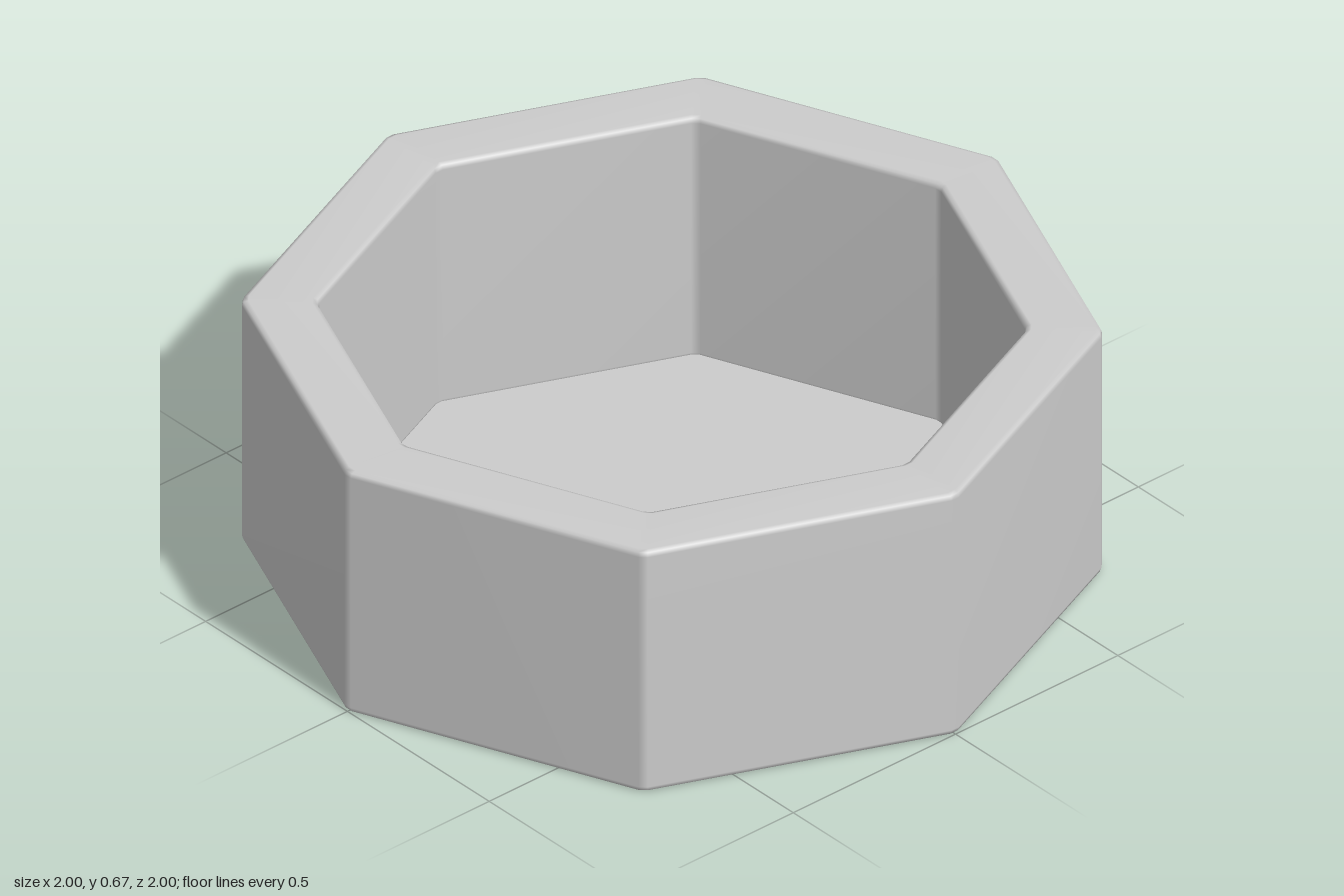
import * as THREE from 'three';

const SIDES = 8;
const CUT = 0.012; // half width of the small chamfer on each upright corner

// Octagon of the given radius with every corner trimmed into two points
function octagonLoop(radius) {
  const corner = (i) => {
    const a = (i / SIDES) * Math.PI * 2;
    return new THREE.Vector2(Math.sin(a), Math.cos(a)).multiplyScalar(radius);
  };
  const points = [];
  for (let i = 0; i < SIDES; i++) {
    const c = corner(i);
    for (const step of [-1, 1]) {
      const along = corner(i + step).sub(c).normalize();
      points.push(c.clone().addScaledVector(along, CUT));
    }
  }
  return points;
}

// Sweep a closed [radius, height] profile around the octagon
function octagonRing(profile) {
  const positions = [], index = [];
  const n = SIDES * 2, m = profile.length;
  for (const [radius, y] of profile) {
    for (const p of octagonLoop(radius)) positions.push(p.x, y, p.y);
  }
  for (let j = 0; j < m; j++) {
    const k = (j + 1) % m;
    for (let i = 0; i < n; i++) {
      const h = (i + 1) % n;
      const a = j * n + i, b = j * n + h, c = k * n + h, d = k * n + i;
      index.push(a, b, c, a, c, d);
    }
  }
  const geometry = new THREE.BufferGeometry();
  geometry.setAttribute('position', new THREE.Float32BufferAttribute(positions, 3));
  geometry.setIndex(index);
  geometry.computeVertexNormals();
  return geometry;
}

export function createModel() {
  const model = new THREE.Group();
  model.name = 'octagonalBowl';

  const grey = new THREE.MeshStandardMaterial({ color: 0xcccccc, side: THREE.DoubleSide });
  grey.name = 'light grey';

  // Thick wall with softly bevelled rims
  const wall = new THREE.Mesh(octagonRing([
    [0.989, 0], [1.0, 0.004], [1.004, 0.015],
    [1.004, 0.655], [1.0, 0.666], [0.989, 0.67],
    [0.84, 0.67], [0.829, 0.666], [0.825, 0.655],
    [0.825, 0.015], [0.829, 0.004], [0.84, 0],
  ]), grey);
  wall.name = 'wall';
  model.add(wall);

  // Thin floor closing the bottom
  const floor = new THREE.Mesh(new THREE.CircleGeometry(0.826, SIDES), grey);
  floor.name = 'floor';
  floor.rotation.x = -Math.PI / 2;
  floor.position.y = 0.01;
  model.add(floor);

  return model;
}
